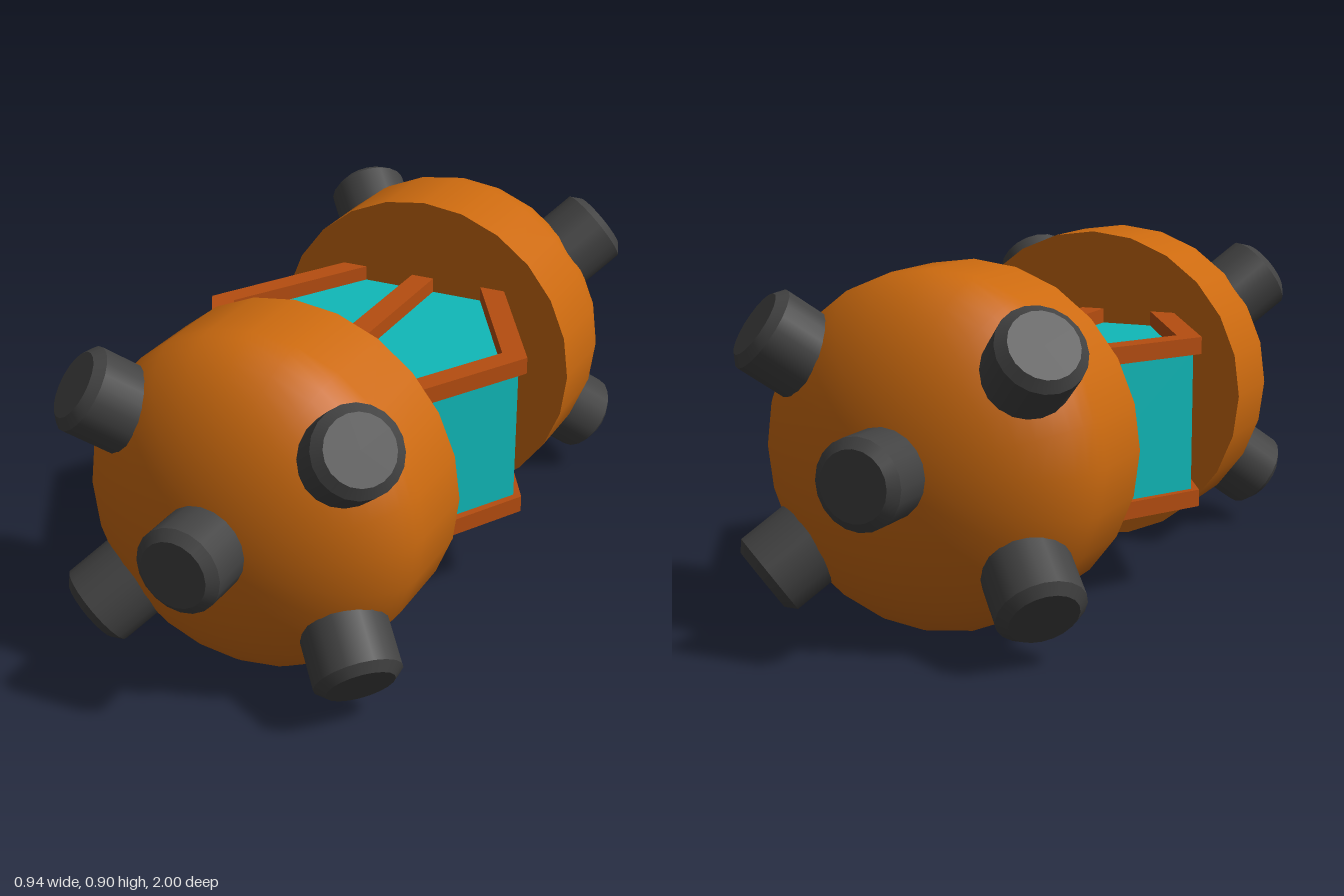
import * as THREE from 'three';

const CENTRE_Y = 0.453;
const material = (color, flatShading = false) => new THREE.MeshStandardMaterial({ color, flatShading });
const orange = material(0xcc6a0f);
const rust = material(0xb54d10, true);
const teal = material(0x10b8b8, true);
const dark = material(0x424242);

function addMesh(parent, name, geometry, mat) {
  const mesh = new THREE.Mesh(geometry, mat);
  mesh.name = name;
  parent.add(mesh);
  return mesh;
}

// Round stud with a chamfered tip; its outer face sits at the origin, facing +y
function createStud(position, direction, length) {
  const stud = new THREE.Group();
  stud.name = 'stud';
  const chamfer = 0.022, radius = 0.112;
  const body = new THREE.CylinderGeometry(radius, radius, length - chamfer, 20);
  addMesh(stud, 'studBody', body.translate(0, -(length + chamfer) / 2, 0), dark);
  const tip = new THREE.CylinderGeometry(0.087, radius, chamfer, 20);
  addMesh(stud, 'studTip', tip.translate(0, -chamfer / 2, 0), dark);
  stud.position.copy(position);
  stud.quaternion.setFromUnitVectors(new THREE.Vector3(0, 1, 0), direction.normalize());
  return stud;
}

// Domed pod pointing along +z, with five studs
function createPod(name) {
  const pod = new THREE.Group();
  pod.name = name;
  const radius = 0.45, back = 0.385, shoulder = 0.6, depth = 0.275;
  const profile = [new THREE.Vector2(radius, back)];
  for (let i = 0; i <= 12; i++) {
    const a = (i / 12) * Math.PI / 2;
    profile.push(new THREE.Vector2(i === 12 ? 0 : radius * Math.cos(a), shoulder + depth * Math.sin(a)));
  }
  addMesh(pod, 'dome', new THREE.LatheGeometry(profile, 24).rotateX(Math.PI / 2), orange);
  const plate = new THREE.CircleGeometry(radius, 24).rotateZ(Math.PI / 2).rotateY(Math.PI);
  addMesh(pod, 'backPlate', plate.translate(0, 0, back), orange);

  pod.add(createStud(new THREE.Vector3(0, 0, 1), new THREE.Vector3(0, 0, 1), 0.16));
  for (const sx of [-1, 1]) {
    for (const sy of [-1, 1]) {
      pod.add(createStud(new THREE.Vector3(sx * 0.381, sy * 0.318, 0.8), new THREE.Vector3(sx, sy, 1), 0.165));
    }
  }
  pod.position.y = CENTRE_Y;
  return pod;
}

// Angled rail following one side of the hexagonal cabin
function railGeometry(side, height) {
  const shape = new THREE.Shape([
    [0.25, -0.386], [0.47, 0], [0.25, 0.386], [0.178, 0.386], [0.4, 0], [0.178, -0.386],
  ].map(([x, z]) => new THREE.Vector2(side * x, z)));
  return new THREE.ExtrudeGeometry(shape, { depth: height, bevelEnabled: false })
    .translate(0, 0, -height / 2).rotateX(-Math.PI / 2);
}

export function createModel() {
  const model = new THREE.Group();
  model.name = 'capsule';

  const front = createPod('frontPod');
  const rear = createPod('rearPod');
  rear.rotation.y = Math.PI;
  model.add(front, rear);

  // Hexagonal glass cabin with corners at left and right
  const cabin = new THREE.CylinderGeometry(0.447, 0.447, 0.373, 6, 1, false, Math.PI / 6);
  addMesh(model, 'cabin', cabin, teal).position.y = CENTRE_Y;

  // Rails on the roof and floor
  const railHeight = 0.045;
  for (const level of [-1, 1]) {
    const y = CENTRE_Y + level * 0.205;
    for (const side of [-1, 1]) {
      addMesh(model, 'sideRail', railGeometry(side, railHeight), rust).position.y = y;
    }
    addMesh(model, 'centreRail', new THREE.BoxGeometry(0.066, railHeight, 0.772), rust).position.y = y;
  }
  return model;
}
